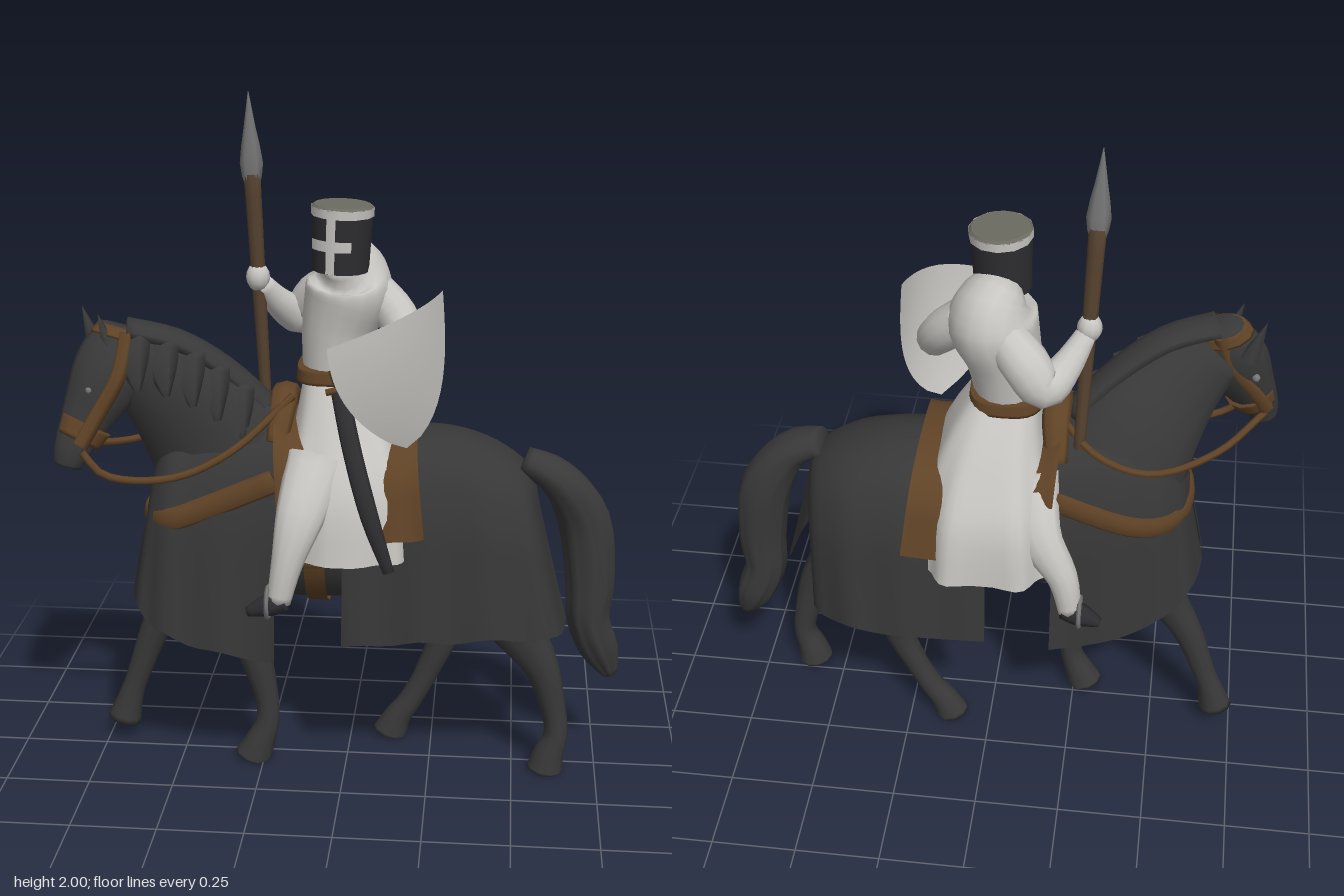
import * as THREE from 'three';

const V = (x, y, z) => new THREE.Vector3(x, y, z);
const mat = (name, color, side = THREE.FrontSide) => {
  const m = new THREE.MeshStandardMaterial({ color, side });
  m.name = name;
  return m;
};

// Smooth interpolation through rows of numbers, t from 0 to 1
function spline(rows, t) {
  const n = rows.length - 1, f = Math.min(Math.max(t, 0), 1) * n;
  const i = Math.min(Math.floor(f), n - 1), u = f - i;
  const [a, b, c, d] = [-1, 0, 1, 2].map(k => rows[Math.min(Math.max(i + k, 0), n)]);
  return b.map((_, k) => b[k] + 0.5 * u * (c[k] - a[k] + u * (2 * a[k] - 5 * b[k] + 4 * c[k] - d[k]
    + u * (3 * (b[k] - c[k]) + d[k] - a[k]))));
}

function gridGeometry(rings, closed) {
  const w = rings[0].length, pos = rings.flat().flatMap(p => [p.x, p.y, p.z]), idx = [];
  for (let i = 0; i < rings.length - 1; i++)
    for (let j = 0; j < (closed ? w : w - 1); j++) {
      const a = i * w + j, b = i * w + (j + 1) % w;
      idx.push(a, b, b + w, a, b + w, a + w);
    }
  const g = new THREE.BufferGeometry();
  g.setAttribute('position', new THREE.Float32BufferAttribute(pos, 3));
  g.setIndex(idx);
  g.computeVertexNormals();
  return g;
}

// Elliptical loft: rows are [x, y, z, radius across, radius sideways]
function loft(rows, { sides = 12, steps = 4, ref = V(0, 0, 1), power = 1, fold = 0, open = false } = {}) {
  const total = (rows.length - 1) * steps, rings = [];
  const soft = v => Math.sign(v) * Math.abs(v) ** power;
  for (let i = 0; i <= total; i++) {
    const t = i / total, [x, y, z, rn, rb] = spline(rows, t), c = V(x, y, z);
    const p = spline(rows, t - 0.02), q = spline(rows, t + 0.02);
    const dir = V(q[0] - p[0], q[1] - p[1], q[2] - p[2]).normalize();
    const n = ref.clone().cross(dir).normalize(), b = dir.clone().cross(n);
    const ring = [];
    for (let j = 0; j < sides; j++) {
      const a = j / sides * Math.PI * 2, k = 1 + fold * t * Math.sin(a * 9);
      const v = c.clone().addScaledVector(n, soft(Math.cos(a)) * rn * k).addScaledVector(b, soft(Math.sin(a)) * rb * k);
      v.y = Math.max(0, v.y);
      ring.push(v);
    }
    const cap = ring.map(() => V(c.x, Math.max(0, c.y), c.z));
    if (i === 0 && !open) rings.push(cap);
    rings.push(ring);
    if (i === total && !open) rings.push(cap);
  }
  return gridGeometry(rings, true);
}

// Cloth hung over the horse: rows are [x, top, hem, half width, centre z, hem shift in x]
// skew makes the hem reach further on the +z side
const HANG = [[-1.08, 0], [-1, 0.35], [-0.92, 0.62], [-0.7, 0.86], [-0.36, 0.97], [0, 1],
  [0.36, 0.97], [0.7, 0.86], [0.92, 0.62], [1, 0.35], [1.08, 0]];
function drape(rows, fold = 0.014, skew = 0) {
  const rings = [];
  for (let i = 0; i <= 20; i++) {
    const [x, top, hem, hw, zc, shift] = spline(rows, i / 20), ring = [];
    for (let j = 0; j <= 30; j++) {
      const [w, h] = spline(HANG, j / 30), low = 1 - h;
      const wave = Math.sin(i * 1.3) * fold * low;
      ring.push(V(x + shift * low * (1 + skew * w), hem + (top - hem) * h + wave * 0.6, zc + w * hw + Math.sign(w) * wave * 0.6));
    }
    rings.push(ring);
  }
  return gridGeometry(rings, false);
}

export function createModel() {
  const root = new THREE.Group();
  const coat = mat('horse black', 0x393939), cloth = mat('caparison black', 0x373737, THREE.DoubleSide);
  const white = mat('surcoat white', 0xc8c6c2, THREE.DoubleSide), leather = mat('brown leather', 0x604326, THREE.DoubleSide);
  const wood = mat('spear wood', 0x574330), steel = mat('steel', 0x777777);
  const iron = mat('helmet black', 0x2d2d30), crown = mat('helmet top grey', 0x6c6b60);
  const add = (name, geo, m, parent = root) => {
    const mesh = new THREE.Mesh(geo, m);
    mesh.name = name;
    parent.add(mesh);
    return mesh;
  };
  const group = name => { const g = new THREE.Group(); g.name = name; root.add(g); return g; };
  const tube = (pts, r) => new THREE.TubeGeometry(new THREE.CatmullRomCurve3(pts.map(p => V(...p))), 20, r, 6);

  // Horse
  const horse = group('horse');
  add('barrel', loft([[-0.5, 0.8, 0.03, 0.1, 0.1], [-0.35, 0.8, 0, 0.25, 0.17], [-0.08, 0.79, -0.02, 0.265, 0.2],
    [0.2, 0.78, -0.04, 0.24, 0.2], [0.45, 0.78, -0.045, 0.17, 0.17]], { sides: 18 }), coat, horse);
  add('neck', loft([[-0.31, 0.88, 0, 0.23, 0.16], [-0.4, 1.05, 0.04, 0.2, 0.13], [-0.5, 1.18, 0.09, 0.15, 0.1],
    [-0.61, 1.29, 0.13, 0.1, 0.07]], { sides: 14 }), coat, horse);
  add('head', loft([[-0.62, 1.37, 0.12, 0.06, 0.045], [-0.64, 1.3, 0.135, 0.095, 0.065], [-0.67, 1.22, 0.16, 0.1, 0.07],
    [-0.72, 1.12, 0.19, 0.073, 0.055], [-0.755, 1.04, 0.22, 0.054, 0.046], [-0.77, 0.99, 0.23, 0.04, 0.036]]), coat, horse);
  for (const [x, z] of [[-0.67, 0.17], [-0.735, 0.08]]) {
    const ear = add('ear', new THREE.ConeGeometry(0.03, 0.13, 6), coat, horse);
    ear.position.set(x + 0.01, 1.355, z);
    ear.rotation.z = 0.3;
  }
  for (const p of [[-0.7, 1.21, 0.222], [-0.73, 1.21, 0.105]])
    add('eye', new THREE.SphereGeometry(0.012, 8, 6), steel, horse).position.set(...p);

  // Mane: a ridge down the crest with a few locks falling to the left
  const crest = [[-0.61, 1.365, 0.13], [-0.47, 1.325, 0.1], [-0.34, 1.235, 0.06], [-0.22, 1.11, 0.02]];
  add('maneRidge', loft(crest.map(p => [...p, 0.03, 0.06]), { sides: 10 }), coat, horse);
  for (let i = 0; i < 6; i++) {
    const [x, y, z] = spline(crest, (i + 0.5) / 6);
    add('maneLock', loft([[x, y - 0.01, z + 0.04, 0.05, 0.018], [x + 0.005, y - 0.07, z + 0.07, 0.045, 0.014],
      [x + 0.02, y - 0.15, z + 0.09, 0.01, 0.01]], { sides: 6, steps: 3 }), coat, horse);
  }

  // Legs, hip to hoof
  const legs = {
    rightFrontLeg: [[-0.45, 0.6, -0.07, 0.1, 0.08], [-0.54, 0.47, -0.06, 0.06, 0.055], [-0.6, 0.36, -0.06, 0.045, 0.042],
      [-0.655, 0.21, -0.06, 0.036, 0.034], [-0.68, 0.14, -0.06, 0.038, 0.038], [-0.705, 0.055, -0.06, 0.052, 0.046]],
    leftFrontLeg: [[-0.33, 0.6, 0.06, 0.09, 0.08], [-0.3, 0.47, 0.055, 0.065, 0.05], [-0.27, 0.33, 0.05, 0.05, 0.045],
      [-0.24, 0.2, 0.05, 0.036, 0.034], [-0.24, 0.12, 0.05, 0.036, 0.036], [-0.265, 0.05, 0.05, 0.046, 0.045], [-0.285, 0, 0.05, 0.058, 0.05]],
    rightHindLeg: [[0.22, 0.6, -0.13, 0.12, 0.1], [0.25, 0.47, -0.14, 0.08, 0.065], [0.285, 0.36, -0.14, 0.05, 0.045],
      [0.235, 0.22, -0.14, 0.037, 0.035], [0.185, 0.12, -0.14, 0.036, 0.037], [0.145, 0.06, -0.14, 0.042, 0.042], [0.12, 0, -0.14, 0.055, 0.047]],
    leftHindLeg: [[0.42, 0.62, 0.04, 0.13, 0.1], [0.5, 0.47, 0.05, 0.085, 0.065], [0.58, 0.34, 0.055, 0.052, 0.045],
      [0.62, 0.2, 0.05, 0.038, 0.036], [0.63, 0.12, 0.05, 0.036, 0.038], [0.61, 0.05, 0.05, 0.046, 0.047], [0.6, 0, 0.05, 0.055, 0.054]],
  };
  for (const [name, rows] of Object.entries(legs)) add(name, loft(rows, { sides: 10 }), coat, horse);
  add('tail', loft([[0.51, 0.96, -0.02, 0.04, 0.05], [0.61, 0.91, -0.01, 0.055, 0.07], [0.69, 0.78, -0.03, 0.075, 0.065],
    [0.715, 0.6, -0.03, 0.07, 0.06], [0.715, 0.47, -0.03, 0.06, 0.06], [0.755, 0.36, -0.04, 0.053, 0.05],
    [0.79, 0.28, -0.04, 0.02, 0.018]], { sides: 27, fold: 0.12 }), coat, horse);

  // Caparison in two halves
  add('frontCaparison', drape([[-0.55, 0.93, 0.57, 0.01, 0.06, -0.075], [-0.54, 0.97, 0.56, 0.11, 0.06, -0.065],
    [-0.49, 1.05, 0.5, 0.18, 0.05, -0.04], [-0.38, 1.1, 0.44, 0.21, 0.02, 0], [-0.19, 1.1, 0.41, 0.225, 0, 0]]), cloth, horse);
  add('rearCaparison', drape([[0, 1.04, 0.45, 0.225, -0.03, 0], [0.15, 1.045, 0.47, 0.24, -0.04, 0], [0.3, 1.04, 0.48, 0.245, -0.045, 0],
    [0.43, 1.0, 0.49, 0.23, -0.04, 0.02], [0.52, 0.94, 0.48, 0.17, -0.03, 0.05], [0.55, 0.88, 0.47, 0.01, -0.02, 0.05]], 0.014, 0.9), cloth, horse);

  // Saddle and harness
  const tack = group('tack');
  add('saddleBlanket', drape([[-0.2, 1.12, 0.82, 0.225, -0.015, 0.02], [-0.1, 1.07, 0.78, 0.235, -0.025, 0],
    [0.08, 1.06, 0.78, 0.245, -0.035, 0], [0.205, 1.062, 0.8, 0.253, -0.04, 0.03]], 0.006), leather, tack);
  for (const s of [1, -1])
    add('saddleFlap', loft([[-0.09, 0.86, s * 0.225 - 0.01, 0.085, 0.012], [-0.09, 0.78, s * 0.23 - 0.01, 0.085, 0.012],
      [-0.085, 0.7, s * 0.225 - 0.01, 0.05, 0.01]], { sides: 10 }), leather, tack);
  add('pommel', loft([[-0.19, 1.04, 0.13, 0.02, 0.03], [-0.18, 1.13, 0.06, 0.025, 0.04], [-0.18, 1.155, 0, 0.025, 0.04],
    [-0.18, 1.13, -0.07, 0.025, 0.04], [-0.19, 1.04, -0.14, 0.02, 0.03]], { ref: V(1, 0, 0), sides: 8 }), leather, tack);
  const girth = add('girth', new THREE.CylinderGeometry(1, 1, 0.06, 24, 1, true).rotateZ(Math.PI / 2).scale(1, 0.27, 0.225), leather, tack);
  girth.position.set(-0.08, 0.785, -0.02);
  add('breastCollar', loft([[-0.19, 0.95, 0.2, 0.012, 0.035], [-0.38, 0.87, 0.213, 0.012, 0.035], [-0.49, 0.83, 0.217, 0.013, 0.034],
    [-0.555, 0.815, 0.15, 0.013, 0.034], [-0.573, 0.81, 0.06, 0.013, 0.034], [-0.555, 0.815, -0.04, 0.013, 0.034], [-0.49, 0.83, -0.13, 0.013, 0.034],
    [-0.38, 0.87, -0.183, 0.012, 0.035], [-0.19, 0.95, -0.2, 0.012, 0.035]], { ref: V(0, 1, 0), sides: 8 }), leather, tack);
  add('noseband', loft([[-0.72, 1.105, 0.194, 0.076, 0.06], [-0.742, 1.06, 0.212, 0.064, 0.053]]), leather, tack);
  add('headstall', loft([[-0.622, 1.365, 0.12, 0.07, 0.05], [-0.63, 1.335, 0.128, 0.085, 0.062]]), leather, tack);
  add('leftCheekStrap', tube([[-0.6, 1.36, 0.165], [-0.62, 1.25, 0.21], [-0.68, 1.14, 0.235], [-0.725, 1.06, 0.258]], 0.024), leather, tack);
  add('rightCheekStrap', tube([[-0.62, 1.36, 0.085], [-0.66, 1.25, 0.1], [-0.73, 1.14, 0.14], [-0.77, 1.06, 0.175]], 0.024), leather, tack);
  add('leftRein', tube([[-0.72, 1.04, 0.26], [-0.66, 0.975, 0.26], [-0.48, 0.955, 0.215], [-0.32, 1.02, 0.17], [-0.15, 1.16, 0.06]], 0.011), leather, tack);
  add('rightRein', tube([[-0.77, 1.04, 0.175], [-0.64, 1.0, 0.02], [-0.45, 1.02, -0.13], [-0.3, 1.08, -0.14], [-0.15, 1.16, 0]], 0.011), leather, tack);

  // Rider
  const rider = group('rider');
  add('torso', loft([[-0.04, 1.18, -0.03, 0.09, 0.105], [-0.03, 1.33, -0.04, 0.105, 0.125], [0, 1.45, -0.045, 0.125, 0.15],
    [0, 1.51, -0.035, 0.1, 0.125], [-0.02, 1.55, 0.01, 0.055, 0.055]], { sides: 16 }), white, rider);
  add('skirt', loft([[-0.04, 1.22, -0.035, 0.09, 0.1], [-0.01, 1.06, -0.04, 0.15, 0.195], [0, 0.9, -0.04, 0.195, 0.275],
    [0, 0.72, -0.04, 0.215, 0.297]], { sides: 54, power: 0.65, fold: 0.04, open: true }), white, rider);
  add('belt', loft([[-0.04, 1.198, -0.033, 0.108, 0.124], [-0.04, 1.238, -0.033, 0.104, 0.119]], { sides: 24, power: 0.7 }), leather, rider);
  add('rightArm', loft([[-0.04, 1.45, -0.12, 0.06, 0.06], [-0.1, 1.4, -0.17, 0.068, 0.062], [-0.155, 1.335, -0.19, 0.06, 0.05],
    [-0.21, 1.38, -0.14, 0.045, 0.04], [-0.255, 1.45, -0.09, 0.03, 0.03]]), white, rider);
  add('leftArm', loft([[0.07, 1.45, -0.04, 0.06, 0.07], [0.14, 1.38, -0.01, 0.06, 0.06], [0.18, 1.3, 0.06, 0.05, 0.05],
    [0.13, 1.28, 0.15, 0.035, 0.035]]), white, rider);
  add('rightHand', new THREE.SphereGeometry(0.035, 10, 8).scale(1, 1.2, 1), white, rider).position.set(-0.265, 1.47, -0.082);
  for (const [side, s, dx] of [['left', 1, 0], ['right', -1, -0.08]]) {
    add(side + 'Leg', loft([[-0.07 + dx / 2, 1.0, s * 0.15, 0.09, 0.06], [-0.11 + dx / 2, 0.87, s * 0.245, 0.07, 0.045],
      [-0.145 + dx, 0.74, s * 0.275, 0.046, 0.043], [-0.17 + dx, 0.62, s * 0.285, 0.034, 0.033]]), white, rider);
    add(side + 'Foot', loft([[-0.15 + dx, 0.625, s * 0.285, 0.03, 0.03], [-0.2 + dx, 0.61, s * 0.288, 0.035, 0.034],
      [-0.26 + dx, 0.59, s * 0.295, 0.014, 0.015]], { sides: 8 }), iron, rider);
    const stirrup = add(side + 'Stirrup', new THREE.TorusGeometry(0.045, 0.007, 5, 12), steel, rider);
    stirrup.position.set(-0.2 + dx, 0.62, s * 0.288);
    stirrup.rotation.y = Math.PI / 2;
  }

  // Helmet with band, flat crown and face cross
  const helmet = group('helmet');
  helmet.position.set(-0.015, 1.61, 0.02);
  helmet.rotation.z = -0.04;
  const arc = (h, r, start, len) => new THREE.CylinderGeometry(r, r - 0.03 * h, h, 12, 1, true, start, len);
  add('helmetShell', new THREE.CylinderGeometry(0.086, 0.08, 0.18, 16), iron, helmet);
  add('helmetBand', arc(0.025, 0.089, 0, Math.PI * 2), white, helmet).position.y = 0.078;
  add('helmetCrown', new THREE.CylinderGeometry(0.08, 0.088, 0.008, 16), crown, helmet).position.y = 0.092;
  add('crossUpright', arc(0.16, 0.09, -0.42, 0.3), white, helmet).position.y = -0.008;
  add('crossBar', arc(0.03, 0.09, -1.05, 1.45), white, helmet).position.y = -0.01;

  // Shield: curved across its width, narrowing to a point
  const rows = [];
  for (let i = 0; i <= 14; i++) {
    const v = i / 14, ring = [];
    const c = V(0.12 + 0.035 * v, 1.42 - 0.38 * v, 0.175 - 0.06 * v * v);
    const half = Math.max(0, 1 - v ** 2.6) ** 0.75;
    for (let j = 0; j <= 12; j++) {
      const u = j / 6 - 1, k = u * half;
      const bulge = 0.075 * (1 - k * k) * (1 - 0.5 * v);
      ring.push(V(c.x + 0.15 * k + bulge * 0.65, c.y + 0.055 * k * (1 - v) + 0.02 * (1 - u * u) * (1 - v), c.z - 0.12 * k + bulge * 0.75));
    }
    rows.push(ring);
  }
  add('shield', gridGeometry(rows, false), white);

  // Sword in scabbard
  add('scabbard', loft([[-0.01, 1.19, 0.12, 0.026, 0.014], [0.03, 1.05, 0.205, 0.027, 0.014], [0.085, 0.88, 0.275, 0.026, 0.014],
    [0.14, 0.72, 0.285, 0.016, 0.01]], { sides: 8 }), iron);
  add('swordGrip', tube([[-0.01, 1.19, 0.12], [-0.035, 1.25, 0.1]], 0.012), leather);
  add('crossguard', tube([[-0.05, 1.19, 0.122], [0.03, 1.21, 0.12]], 0.01), leather);

  // Spear
  add('spearShaft', loft([[-0.25, 1.08, -0.11, 0.016, 0.016], [-0.262, 1.42, -0.085, 0.02, 0.02], [-0.275, 1.77, -0.065, 0.024, 0.02]], { sides: 8 }), wood);
  add('spearHead', loft([[-0.275, 1.74, -0.066, 0.022, 0.016], [-0.276, 1.8, -0.063, 0.033, 0.018], [-0.279, 1.9, -0.06, 0.017, 0.011],
    [-0.281, 2, -0.057, 0.001, 0.001]], { sides: 6, steps: 2 }), steel);
  return root;
}
